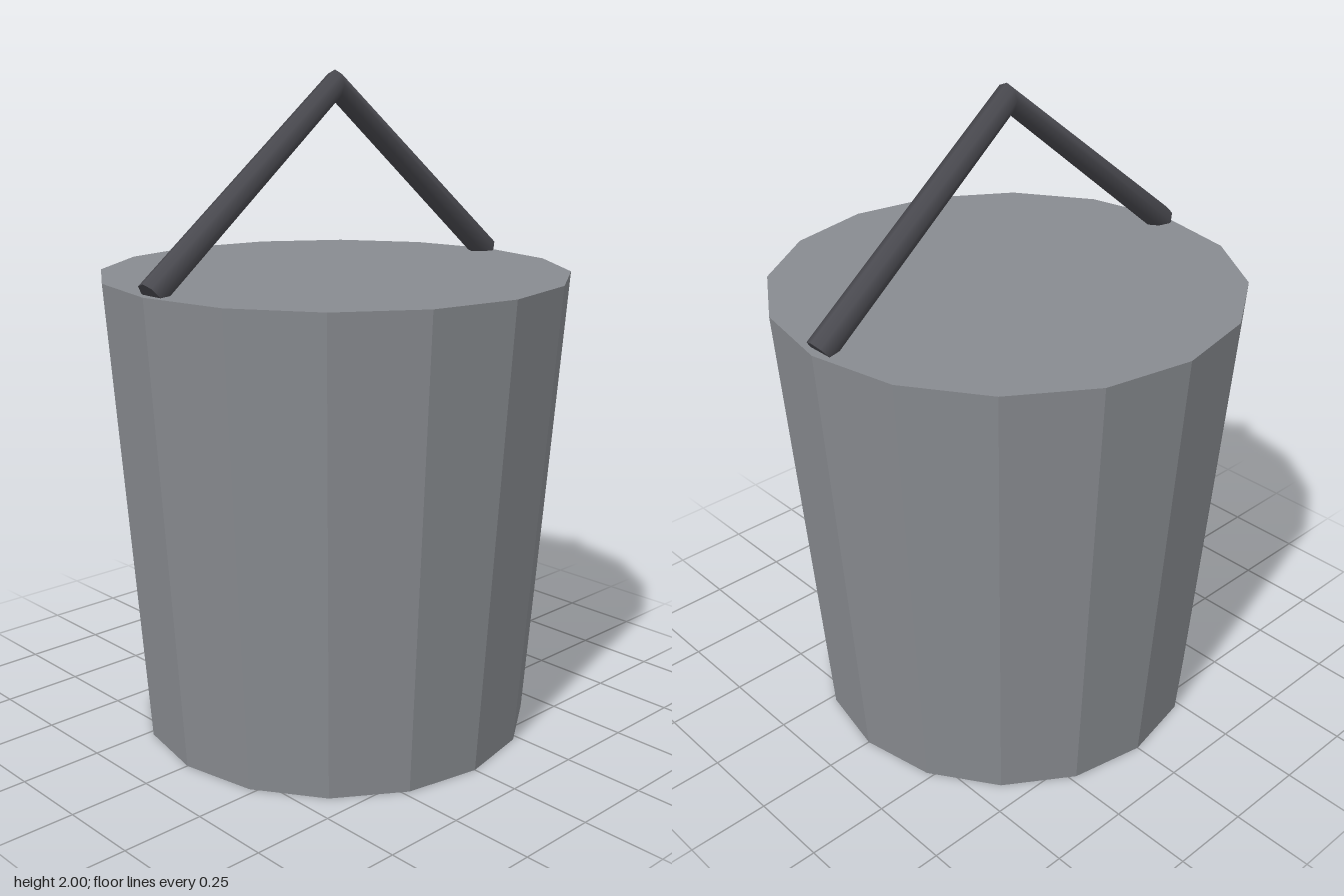
import * as THREE from 'three';

export function createModel() {
  const model = new THREE.Group();
  model.name = 'bucket';

  const bodyGrey = new THREE.MeshStandardMaterial({ color: 0x888b90 });
  bodyGrey.name = 'bodyGrey';
  bodyGrey.flatShading = true;
  const handleGrey = new THREE.MeshStandardMaterial({ color: 0x4a4a50 });
  handleGrey.name = 'handleGrey';

  // Tapered sixteen-sided pail with closed top and base
  const height = 1.414;
  const body = new THREE.Mesh(new THREE.CylinderGeometry(0.705, 0.6, height, 16), bodyGrey);
  body.name = 'pail';
  body.position.y = height / 2;
  model.add(body);

  // Bent rod handle: two straight arms meeting at a peak
  const radius = 0.042;
  const left = new THREE.Vector3(0.679, 1.417, 0);
  const right = new THREE.Vector3(-0.679, 1.417, 0);
  const peak = new THREE.Vector3(0, 2 - radius, 0);
  const path = new THREE.CurvePath();
  path.add(new THREE.LineCurve3(right, peak));
  path.add(new THREE.LineCurve3(peak, left));
  const handle = new THREE.Group();
  handle.name = 'handle';
  const rod = new THREE.Mesh(new THREE.TubeGeometry(path, 2, radius, 8, false), handleGrey);
  rod.name = 'handleRod';
  handle.add(rod);

  // Flat ends of the rod, square to each arm
  for (const [name, end] of [['leftEnd', left], ['rightEnd', right]]) {
    const cap = new THREE.Mesh(new THREE.CircleGeometry(radius, 8), handleGrey);
    cap.name = name;
    cap.position.copy(end);
    cap.lookAt(end.clone().multiplyScalar(2).sub(peak));
    handle.add(cap);
  }
  model.add(handle);

  return model;
}
